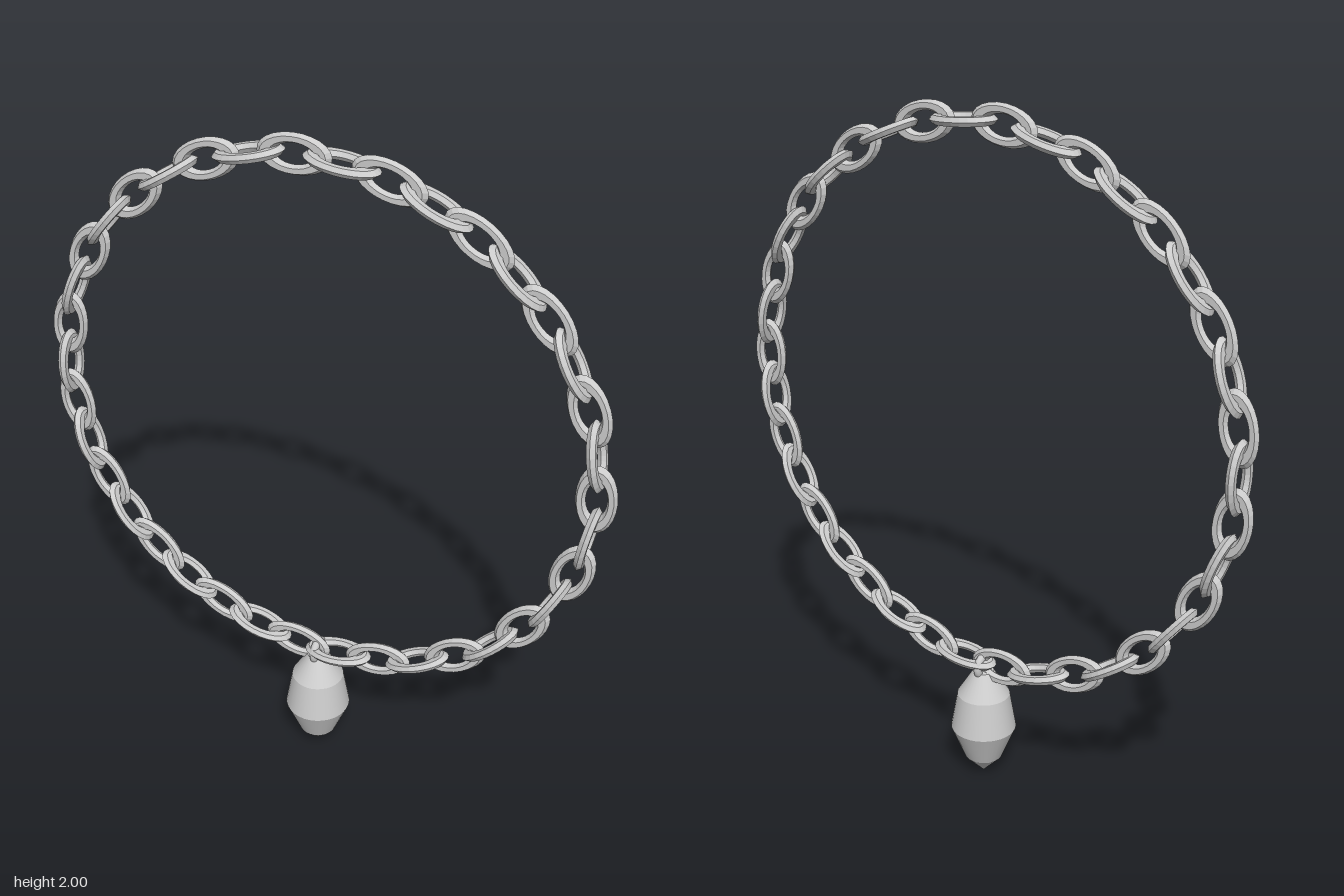
import * as THREE from 'three';

export function createModel() {
  const model = new THREE.Group();
  const metal = new THREE.MeshStandardMaterial({ color: 0xcccccc });
  metal.name = 'light metal';

  // Chain: faceted oval links on a circle, every second one turned edge-on
  const chain = new THREE.Group();
  chain.name = 'chain';
  chain.position.set(-0.004, 1.159, 0);
  const linkShape = new THREE.TorusGeometry(0.0425, 0.014, 6, 24).toNonIndexed();
  linkShape.scale(1.85, 1, 1);
  linkShape.computeVertexNormals();
  const count = 38, radius = 0.786;
  for (let i = 0; i < count; i++) {
    const a = (i / count) * Math.PI * 2;
    const link = new THREE.Mesh(linkShape, metal);
    link.name = 'chainLink' + (i + 1);
    link.position.set(Math.cos(a) * radius, Math.sin(a) * radius, 0);
    link.rotation.order = 'ZYX';
    link.rotation.set(i % 2 ? Math.PI / 2 : 0, 0, a + Math.PI / 2);
    chain.add(link);
  }
  model.add(chain);

  // Pendant: turned drop with crisp bands, smooth around its axis
  const pendant = new THREE.Group();
  pendant.name = 'pendant';
  pendant.position.x = -0.005;
  const profile = [[0, 0.003], [0.055, 0.06], [0.096, 0.16], [0.077, 0.27], [0.03, 0.345], [0, 0.35]];
  for (let i = 0; i < profile.length - 1; i++) {
    const pts = [profile[i], profile[i + 1]].map(([r, y]) => new THREE.Vector2(r, y));
    const band = new THREE.Mesh(new THREE.LatheGeometry(pts, 32), metal);
    band.name = 'pendantBand' + (i + 1);
    pendant.add(band);
  }

  // Bail: small ring joining the pendant to the chain
  const bail = new THREE.Mesh(new THREE.TorusGeometry(0.03, 0.012, 10, 24), metal);
  bail.name = 'bail';
  bail.rotation.y = Math.PI / 2;
  bail.position.y = 0.36;
  pendant.add(bail);
  model.add(pendant);

  return model;
}
